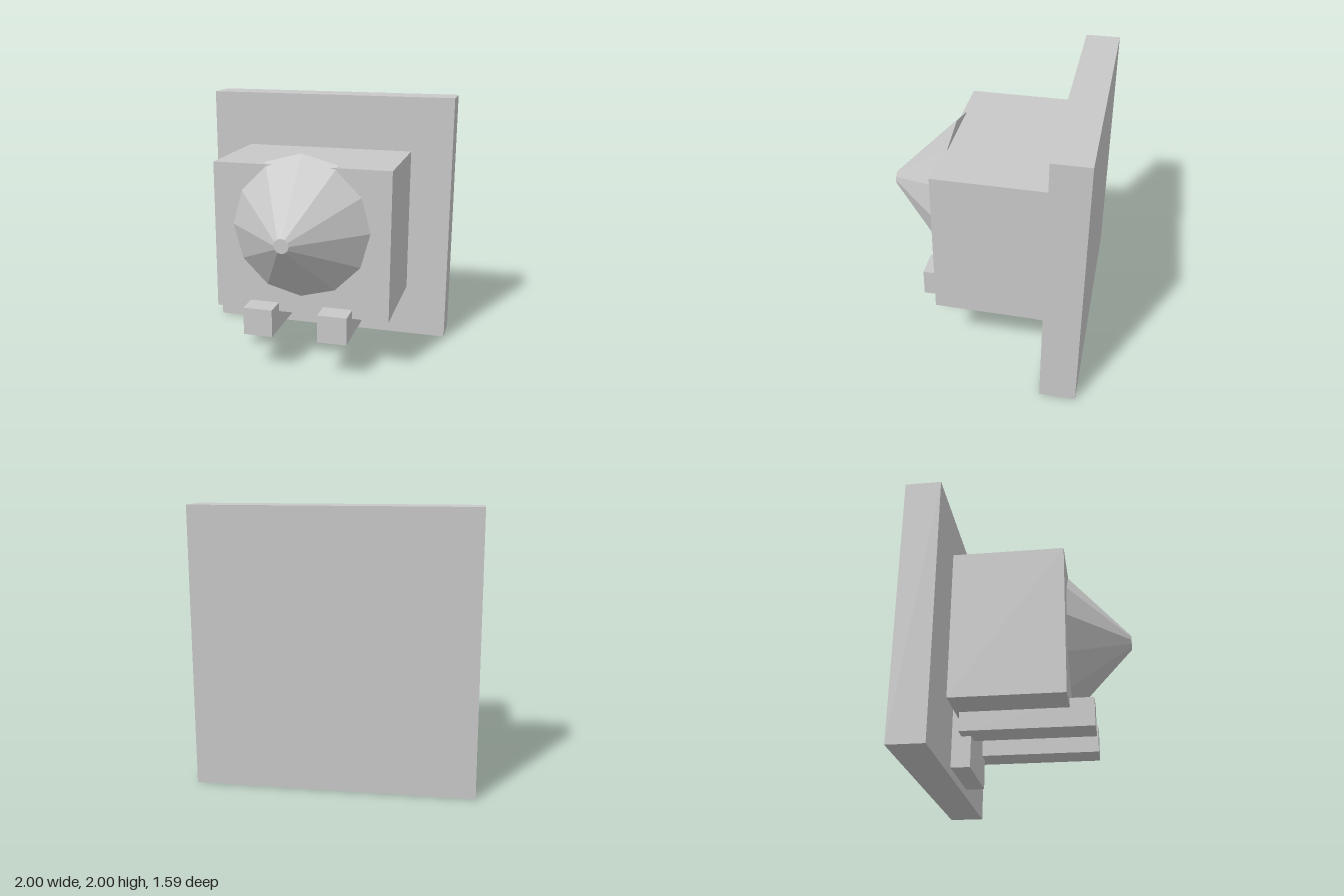
import * as THREE from 'three';

export function createModel() {
  const model = new THREE.Group();
  const grey = new THREE.MeshStandardMaterial({ color: 0xc8c8c8, flatShading: true });
  grey.name = 'light grey';

  // Box given by its lowest and highest corners
  function addBox(name, [x0, y0, z0], [x1, y1, z1]) {
    const mesh = new THREE.Mesh(new THREE.BoxGeometry(x1 - x0, y1 - y0, z1 - z0), grey);
    mesh.position.set((x0 + x1) / 2, (y0 + y1) / 2, (z0 + z1) / 2);
    mesh.name = name;
    model.add(mesh);
  }

  // Upright square plate at the back
  addBox('backPlate', [-1, 0, -0.795], [1, 2, -0.53]);

  // Main body, floating just in front of the plate
  addBox('body', [-0.677, 0.433, -0.49], [0.677, 1.573, 0.33]);

  // Bracket joining the arms to the plate
  addBox('bracket', [-0.287, 0.06, -0.535], [0.287, 0.52, -0.39]);

  // Pair of bars running under the body
  addBox('rightBar', [-0.4, 0.29, -0.46], [-0.175, 0.503, 0.505]);
  addBox('leftBar', [0.175, 0.29, -0.46], [0.4, 0.503, 0.505]);

  // Twelve-sided blunt cone pointing forward, its top edge rising above the body
  const zBase = 0.3, zTip = 0.795;
  const coneShape = new THREE.CylinderGeometry(0.055, 0.558, zTip - zBase, 12).rotateX(Math.PI / 2);
  const cone = new THREE.Mesh(coneShape, grey);
  cone.position.set(0, 1.103, (zBase + zTip) / 2);
  cone.name = 'noseCone';
  model.add(cone);

  return model;
}
